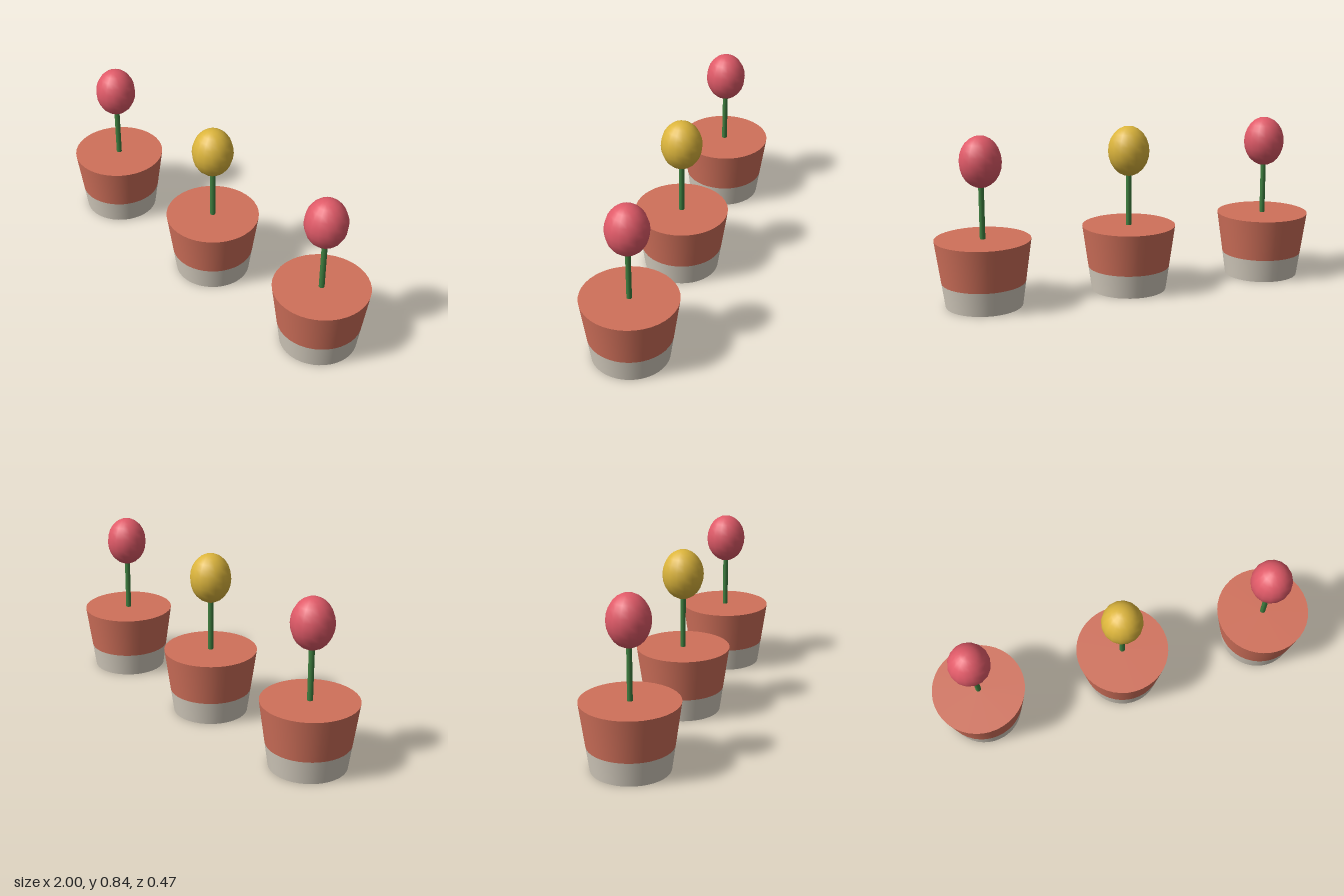
import * as THREE from 'three';

const mat = (name, color, side = THREE.FrontSide) => {
  const m = new THREE.MeshStandardMaterial({ color, side });
  m.name = name;
  return m;
};

export function createModel() {
  const terracotta = mat('terracotta', 0xd0705a);
  const cream = mat('cream', 0xd4ccbe);
  const green = mat('stem green', 0x3f8040);
  const pink = mat('bloom pink', 0xe05a68);
  const yellow = mat('bloom yellow', 0xdcb53c);

  const SEG = 40, H = 0.335, BAND = 0.12, R0 = 0.19, R1 = 0.237;
  const rBand = R0 + (R1 - R0) * BAND / H;

  // Tapered walls, soil-level top and base ring
  const wallGeo = new THREE.CylinderGeometry(R1, rBand, H - BAND, SEG, 1, true).translate(0, (H + BAND) / 2, 0);
  const topGeo = new THREE.CircleGeometry(R1, SEG).rotateX(-Math.PI / 2).translate(0, H, 0);
  const bandGeo = new THREE.CylinderGeometry(rBand, R0, BAND, SEG, 1, true).translate(0, BAND / 2, 0);
  const ringGeo = new THREE.RingGeometry(0.165, R0, SEG).rotateX(Math.PI / 2);

  // Underside with a raised foot ring
  const under = [[0, 0.014], [0.08, 0.014], [0.088, 0.01], [0.1, 0.002], [0.112, 0.01], [0.12, 0.012], [0.15, 0.01], [0.165, 0]];
  const underGeo = new THREE.LatheGeometry(under.map(([x, y]) => new THREE.Vector2(x, y)), SEG);

  // Flower
  const stemGeo = new THREE.CylinderGeometry(0.014, 0.014, 0.3, 8).translate(0, H + 0.14, 0);
  const bloomGeo = new THREE.SphereGeometry(0.104, 16, 12).scale(1, 1.22, 1).translate(0, 0.717, 0);

  const model = new THREE.Group();
  model.name = 'flowerPots';
  [[-0.763, pink], [0, yellow], [0.763, pink]].forEach(([x, bloomMat]) => {
    const pot = new THREE.Group();
    pot.name = 'pottedFlower';
    const add = (name, geo, material) => {
      const mesh = new THREE.Mesh(geo, material);
      mesh.name = name;
      pot.add(mesh);
    };
    add('potWall', wallGeo, terracotta);
    add('potTop', topGeo, terracotta);
    add('potBand', bandGeo, cream);
    add('bandBase', ringGeo, cream);
    add('potUnderside', underGeo, terracotta);
    add('stem', stemGeo, green);
    add('bloom', bloomGeo, bloomMat);
    pot.position.x = x;
    model.add(pot);
  });
  return model;
}
